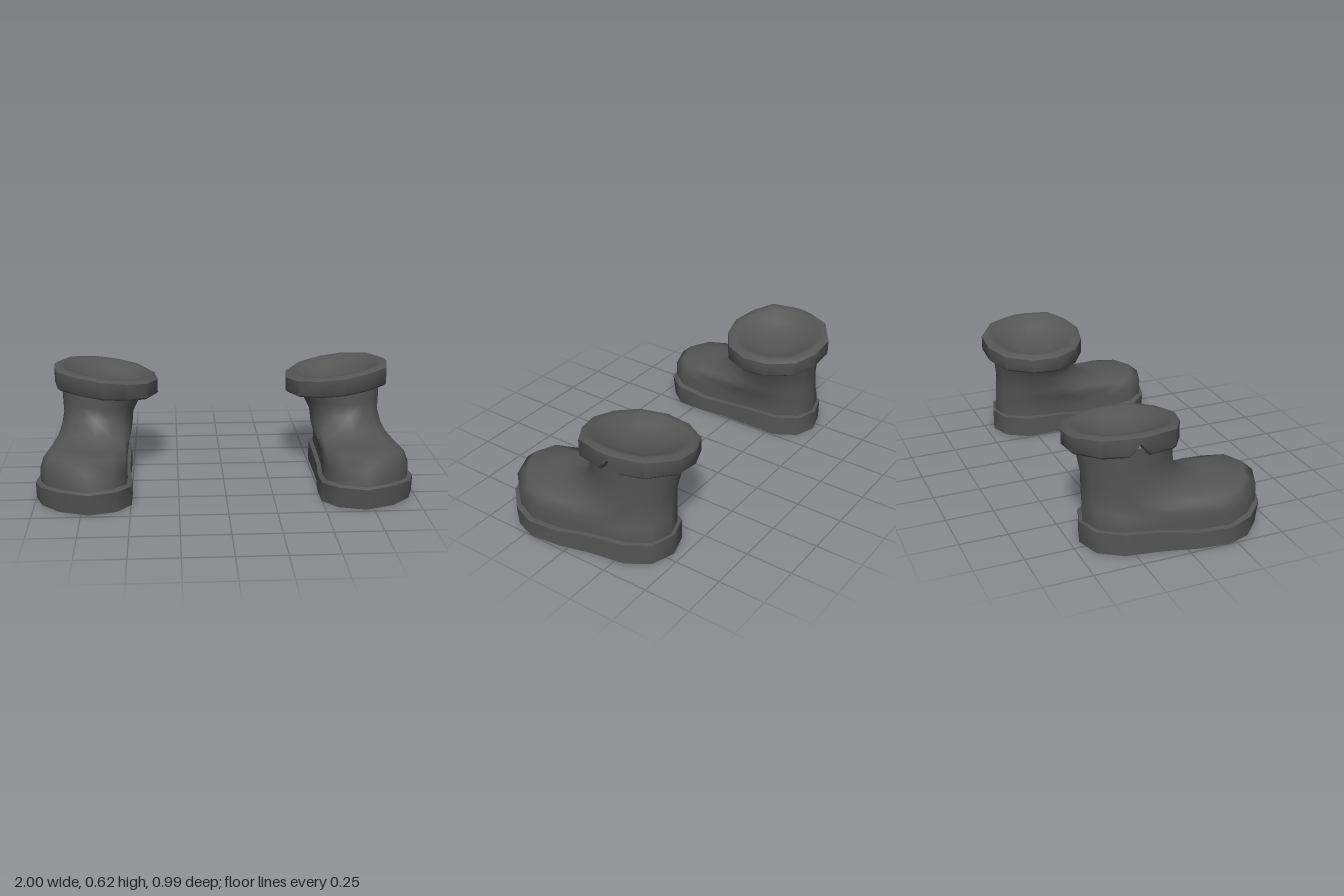
import * as THREE from 'three';
import { toCreasedNormals } from 'three/addons/utils/BufferGeometryUtils.js';

const { lerp, smoothstep } = THREE.MathUtils;
const material = new THREE.MeshStandardMaterial({ color: 0x555555 });

// Sole outline as [x, z], from the toe round the outer side to the heel and back
const SOLE = [
  [0.71, 0.497], [0.86, 0.44], [0.96, 0.34], [1.0, 0.22], [0.98, 0.05], [0.935, -0.12],
  [0.905, -0.3], [0.83, -0.415], [0.7, -0.455], [0.58, -0.415], [0.51, -0.3],
  [0.51, -0.12], [0.51, 0.05], [0.495, 0.2], [0.495, 0.36], [0.57, 0.455],
];

// Cuff outline in the same order; the point at index NOTCH is the tip of the slit
const CUFF = [
  [0.65, 0.065], [0.78, 0.03], [0.89, -0.04], [0.917, -0.18], [0.917, -0.23], [0.905, -0.28],
  [0.86, -0.4], [0.72, -0.497], [0.58, -0.497], [0.45, -0.44], [0.37, -0.31],
  [0.355, -0.17], [0.41, -0.04], [0.52, 0.037],
];
const NOTCH = 4;

const scaled = (pts, sx, sz, cx, cz) => pts.map(([x, z]) => [cx + (x - cx) * sx, cz + (z - cz) * sz]);
const oval = (n, cx, cz, rx, rz) => Array.from({ length: n }, (_, i) => {
  const a = (i / n) * Math.PI * 2;
  return [cx + Math.sin(a) * rx, cz + Math.cos(a) * rz];
});

// Joins rings of [x, y, z], lowest first; side = -1 mirrors the surface
function loft(rings, side, capBottom, capTop) {
  const n = rings[0].length;
  const positions = rings.flat();
  const index = [];
  const face = (a, b, c) => index.push(...(side > 0 ? [a, b, c] : [a, c, b]));
  for (let k = 0; k < rings.length - 1; k++) {
    for (let i = 0; i < n; i++) {
      const j = (i + 1) % n;
      face(k * n + i, k * n + j, (k + 1) * n + j);
      face(k * n + i, (k + 1) * n + j, (k + 1) * n + i);
    }
  }
  const cap = (k, up) => {
    const centre = [0, 1, 2].map((c) => rings[k].reduce((sum, p) => sum + p[c] / n, 0));
    const m = positions.push(centre) - 1;
    for (let i = 0; i < n; i++) {
      const a = k * n + i, b = k * n + ((i + 1) % n);
      if (up) face(m, a, b);
      else face(m, b, a);
    }
  };
  if (capBottom) cap(0, false);
  if (capTop) cap(rings.length - 1, true);
  const geometry = new THREE.BufferGeometry();
  geometry.setAttribute('position', new THREE.Float32BufferAttribute(
    positions.flatMap(([x, y, z]) => [x * side, y, z]), 3));
  geometry.setIndex(index);
  geometry.computeVertexNormals();
  return geometry;
}

// Thick sole, raised at the toe and heel
function soleGeometry(side) {
  const top = (z) => 0.088 + 0.037 * smoothstep(z, 0.2, 0.42) + 0.025 * smoothstep(-z, 0, 0.2);
  const rim = SOLE.map(([x, z]) => [x, top(z) - (z > 0.3 ? 0.012 : 0), z]);
  const ground = SOLE.map(([x, z]) => [x, 0, z > 0 ? z * 0.965 : z]);
  const seam = scaled(SOLE, 0.87, 0.94, 0.735, 0.02).map(([x, z]) => [x, top(z) + 0.005, z]);
  return toCreasedNormals(loft([ground, rim, seam], side, true, false), 1.0);
}

// Foot and shaft: the sole outline shrinks to the ankle oval, then rises to the cuff
function upperGeometry(side) {
  const foot = scaled(SOLE, 0.9, 0.967, 0.735, 0.02);
  const n = foot.length;
  const ankle = oval(n, 0.685, -0.2, 0.192, 0.23);
  const shaft = oval(n, 0.655, -0.215, 0.23, 0.24);
  // [blend to ankle, front height, back height, drop at the sides]
  const levels = [
    [0, 0.07, 0.07, 0], [0, 0.215, 0.13, 0.03], [0.13, 0.268, 0.165, 0.03],
    [0.42, 0.27, 0.2, 0.02], [0.64, 0.258, 0.23, 0.005], [0.84, 0.287, 0.265, 0],
    [1, 0.355, 0.335, 0],
  ];
  const rings = levels.map(([t, front, back, drop]) => foot.map(([x, z], i) => {
    const a = (i / n) * Math.PI * 2;
    const y = lerp(front, back, (1 - Math.cos(a)) / 2) - drop * Math.sin(a) ** 2;
    return [lerp(x, ankle[i][0], t), y, lerp(z, ankle[i][1], t)];
  }));
  // Shaft flares inward towards the tilted cuff
  for (const t of [0.45, 1]) {
    rings.push(shaft.map(([x, z], i) => [
      lerp(ankle[i][0], x, t), lerp(0.345, 0.51 + 0.14 * (x - 0.635), t), lerp(ankle[i][1], z, t),
    ]));
  }
  return loft(rings, side, false, false);
}

// Tilted cuff with a slit on the outer side and a hollowed opening
function cuffGeometry(side) {
  const low = (x, z, i) => (i === NOTCH ? 0.575 : 0.483 + 0.125 * (x - 0.635));
  const high = (x, z) => 0.577 + 0.15 * (x - 0.635) + 0.02 * (z + 0.215);
  const ring = (s, height, dy) => scaled(CUFF, s, s, 0.635, -0.215)
    .map(([x, z], i) => [x, height(x, z, i) + dy, z]);
  return toCreasedNormals(loft([
    ring(0.74, low, 0.002), ring(0.95, low, -0.005), ring(1, low, 0.008),
    ring(1, high, -0.006), ring(0.9, high, 0.008), ring(0.8, high, 0.005),
    ring(0.6, high, -0.04), ring(0.3, high, -0.065),
  ], side, false, true), 0.9);
}

export function createModel() {
  const model = new THREE.Group();
  model.name = 'boots';
  for (const [name, side] of [['leftBoot', 1], ['rightBoot', -1]]) {
    const boot = new THREE.Group();
    boot.name = name;
    const parts = { sole: soleGeometry, upper: upperGeometry, cuff: cuffGeometry };
    for (const [part, build] of Object.entries(parts)) {
      const mesh = new THREE.Mesh(build(side), material);
      mesh.name = part;
      boot.add(mesh);
    }
    model.add(boot);
  }
  return model;
}
